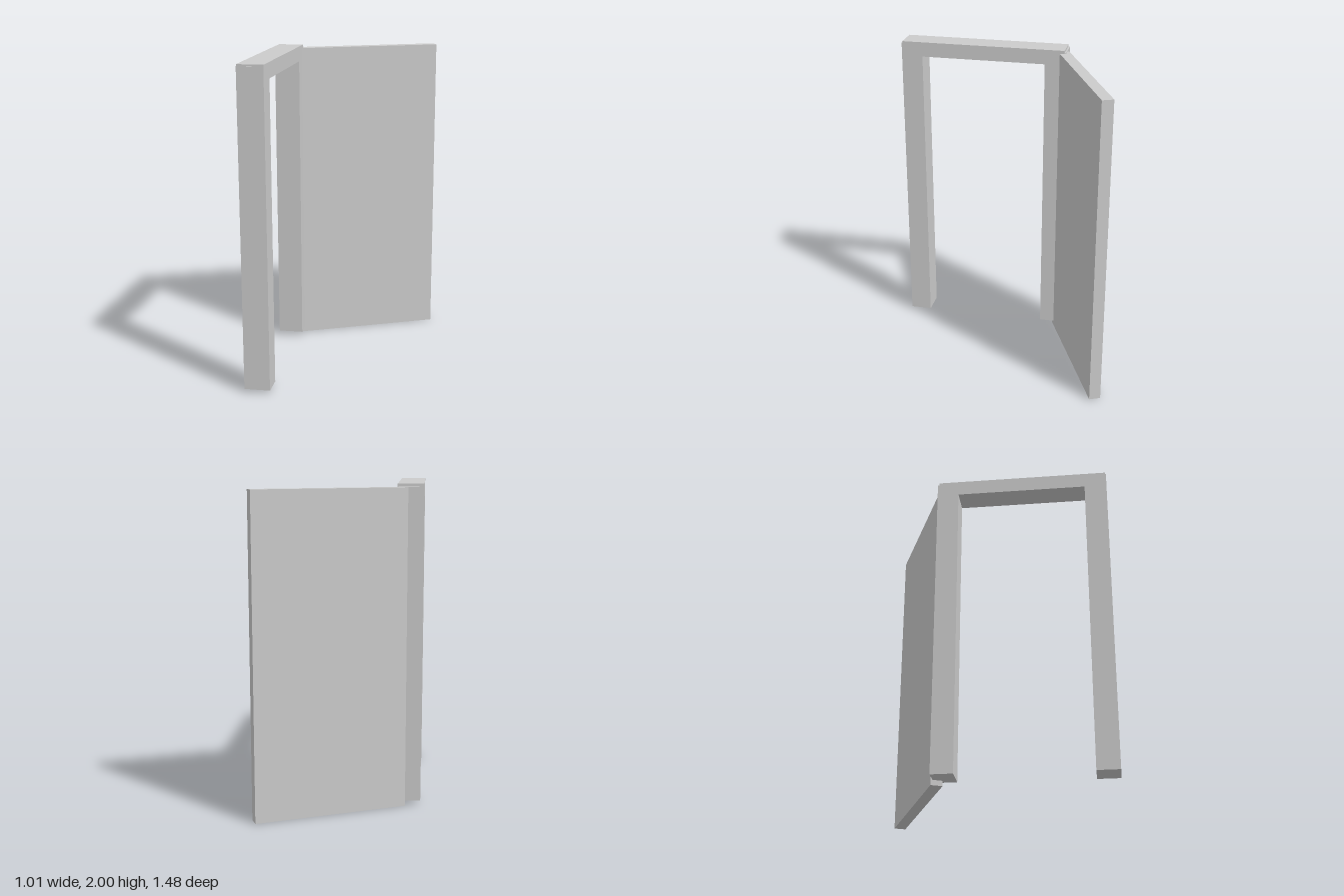
import * as THREE from 'three';

const material = new THREE.MeshStandardMaterial({ color: 0xcccccc, flatShading: true });

// Box given by its lower and upper limits on each axis
function block(name, [x0, x1], [y0, y1], [z0, z1]) {
  const mesh = new THREE.Mesh(new THREE.BoxGeometry(x1 - x0, y1 - y0, z1 - z0), material);
  mesh.name = name;
  mesh.position.set((x0 + x1) / 2, (y0 + y1) / 2, (z0 + z1) / 2);
  return mesh;
}

export function createModel() {
  const model = new THREE.Group();
  model.name = 'openDoor';

  // Door frame: two posts and a lintel
  const frame = new THREE.Group();
  frame.name = 'doorFrame';
  const depth = [-0.505, -0.345];
  frame.add(
    block('frontPost', depth, [0.022, 1.99], [0.602, 0.74]),
    block('hingePost', depth, [0.032, 1.985], [-0.34, -0.205]),
    block('lintel', depth, [1.905, 2], [-0.33, 0.735])
  );
  model.add(frame);

  // Door leaf, swung open from the hinge post
  const door = block('doorLeaf', [-0.483, 0.483], [0, 1.98], [-0.036, 0.036]);
  door.position.x = 0.0465;
  door.position.z = -0.5135;
  door.rotation.y = 0.418;
  model.add(door);

  return model;
}
